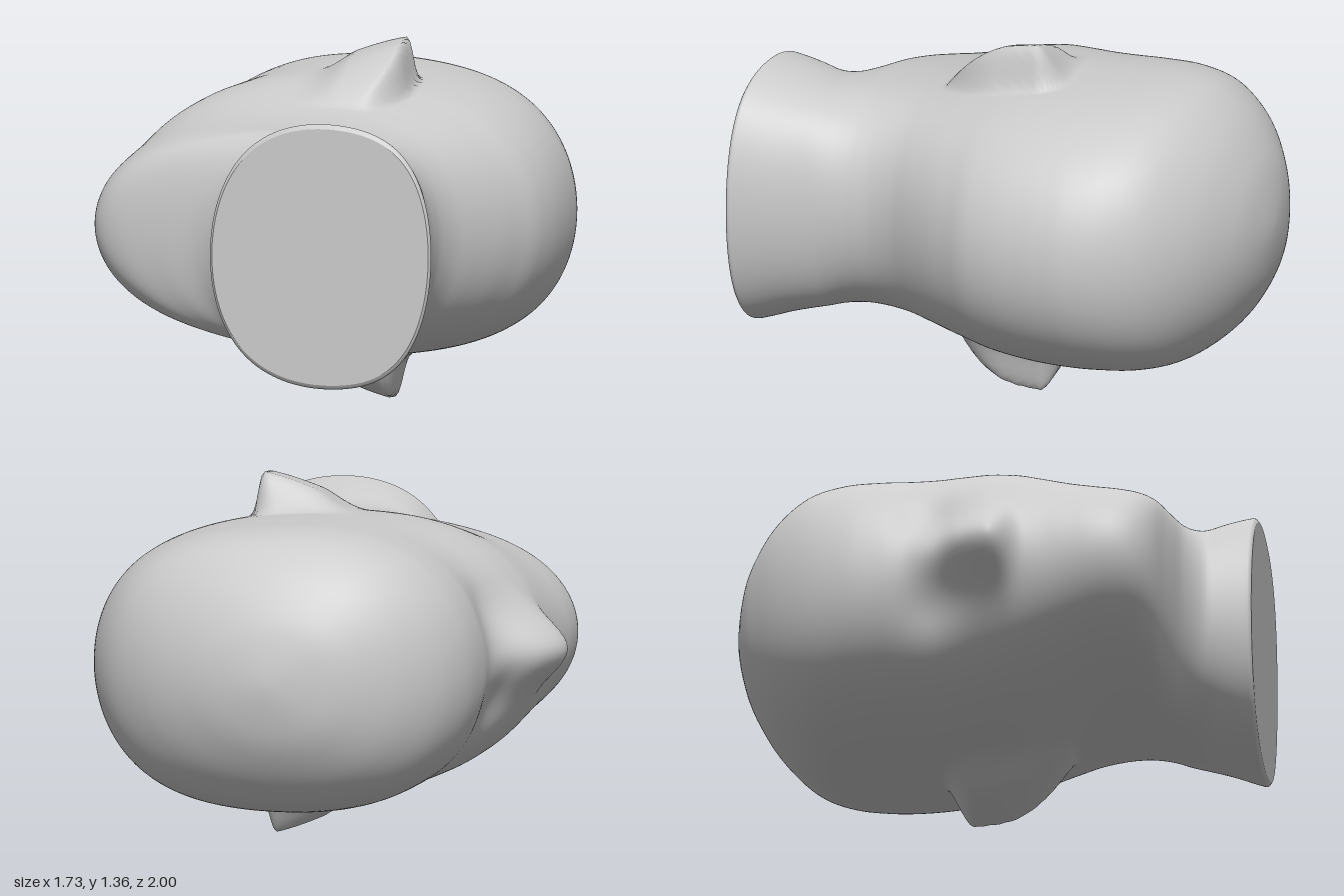
import * as THREE from 'three';

const { smoothstep, clamp } = THREE.MathUtils;
const MID = 0.686; // height of the symmetry plane: the head lies on its side
const TURN = 0.033; // slight roll of the resting head
const SEGS = 256;
const STEPS = 6; // rings per section

// Sections from crown to neck: z, face x, back x, half width, nose length
const SECTIONS = [
  [-0.975, 0.25, -0.15, -0.17, 0], // mirrored section so the crown is round
  [-1.0, 0.06, 0.06, 0, 0],
  [-0.975, -0.15, 0.25, 0.17, 0],
  [-0.925, -0.29, 0.41, 0.295, 0],
  [-0.84, -0.43, 0.58, 0.415, 0],
  [-0.72, -0.545, 0.725, 0.505, 0],
  [-0.58, -0.615, 0.815, 0.538, 0],
  [-0.44, -0.642, 0.858, 0.543, 0],
  [-0.33, -0.645, 0.862, 0.543, 0.005],
  [-0.23, -0.66, 0.855, 0.54, 0.045],
  [-0.14, -0.69, 0.842, 0.535, 0.12],
  [-0.05, -0.72, 0.818, 0.528, 0.142],
  [0.01, -0.737, 0.793, 0.52, 0.118],
  [0.08, -0.757, 0.75, 0.507, 0.023],
  [0.16, -0.77, 0.7, 0.488, 0],
  [0.27, -0.785, 0.625, 0.46, 0],
  [0.36, -0.798, 0.567, 0.44, 0],
  [0.45, -0.797, 0.533, 0.427, 0],
  [0.53, -0.765, 0.525, 0.42, 0],
  [0.59, -0.68, 0.527, 0.42, 0],
  [0.64, -0.52, 0.533, 0.421, 0],
  [0.69, -0.36, 0.541, 0.428, 0],
  [0.76, -0.27, 0.555, 0.442, 0],
  [0.86, -0.253, 0.58, 0.468, 0],
  [0.96, -0.25, 0.605, 0.497, 0],
  [0.985, -0.25, 0.61, 0.5, 0],
  [0.997, -0.24, 0.602, 0.485, 0],
];
const SPANS = SECTIONS.length - 2;

// Smooth blend between neighbouring sections
function sectionAt(t) {
  const i = Math.min(Math.floor(t), SPANS - 1);
  const f = t - i;
  const [a, b, c, d] = [0, 1, 2, 3].map((k) => SECTIONS[Math.min(i + k, SPANS + 1)]);
  return b.map((p, k) => p + 0.5 * f * (c[k] - a[k]
    + f * (2 * a[k] - 5 * p + 4 * c[k] - d[k] + f * (3 * (p - c[k]) + d[k] - a[k]))));
}

// Ear height over the side of the head: rises backwards, then drops steeply
function earHeight(x, z) {
  const rim = 0.265 - 1.7 * Math.max(0, z - 0.03) ** 2 - 4 * Math.max(0, -0.12 - z) ** 2;
  const rise = smoothstep(x, -0.25, rim + 0.12) * smoothstep(x, -0.12, 0.06);
  const drop = 1 - smoothstep(x, rim - 0.035, rim + 0.045);
  const top = smoothstep(z, -0.24, -0.12);
  const lobe = 1 - clamp((z + 0.03) / 0.3, 0, 1) ** 2;
  return 0.187 * rise * drop * top * lobe;
}

function headPoint(t, angle) {
  const [z, face, back, half, nose] = sectionAt(t);
  const around = angle + 0.22 * Math.sin(2 * angle); // denser at the ears
  const c = Math.cos(around), s = Math.sin(around);
  const split = 0.46 + 0.2 * smoothstep(z, -0.05, 0.5) - 0.14 * smoothstep(z, 0.55, 0.9);
  const cx = face + (back - face) * split;
  const full = c > 0 ? 0.25 * smoothstep(z, -1, -0.6) : 0.15;
  let x = cx + c * (c > 0 ? back - cx : cx - face);
  let y = half * s * (1 + full * c * c);

  // Nose ridge and shallow eye sockets
  if (c < 0) {
    const width = 0.09 + 0.05 * smoothstep(z, -0.3, -0.02);
    x -= nose * Math.exp(-((y / width) ** 2));
    x += 0.025 * Math.exp(-(((Math.abs(y) - 0.19) / 0.11) ** 2) - ((z + 0.25) / 0.11) ** 2);
  }

  // Ears, leaning back a little
  const ear = earHeight(x, z);
  y += Math.sign(s) * ear;
  x += 0.12 * ear;

  // Roll of the head and slanted cut of the neck
  const slant = 0.07 * (x - 0.61) * smoothstep(z, 0.7, 0.95);
  return new THREE.Vector3(x + TURN * y, y - TURN * x + MID, z + slant);
}

// Closed rings joined into a skin
function loft(rings, point) {
  const positions = [], index = [];
  for (let i = 0; i <= rings; i++) {
    for (let j = 0; j < SEGS; j++) {
      positions.push(...point(i / rings, (j / SEGS) * Math.PI * 2).toArray());
      if (i === rings) continue;
      const k = (j + 1) % SEGS;
      const a = i * SEGS + j, b = i * SEGS + k;
      index.push(a, b, b + SEGS, a, b + SEGS, a + SEGS);
    }
  }
  const geometry = new THREE.BufferGeometry();
  geometry.setAttribute('position', new THREE.Float32BufferAttribute(positions, 3));
  geometry.setIndex(index);
  geometry.computeVertexNormals();
  return geometry;
}

export function createModel() {
  const group = new THREE.Group();
  group.name = 'mannequinHead';
  const material = new THREE.MeshStandardMaterial({ color: 0xcccccc });
  const add = (name, geometry) => {
    const mesh = new THREE.Mesh(geometry, material);
    mesh.name = name;
    group.add(mesh);
  };

  // Skull, face, ears and neck as one skin
  add('head', loft(SPANS * STEPS, (u, angle) => headPoint(u * SPANS, angle)));

  // Flat cut that closes the neck
  const centre = headPoint(SPANS, 0).lerp(headPoint(SPANS, Math.PI), 0.5);
  add('neckBase', loft(1, (u, angle) => headPoint(SPANS, angle).lerp(centre, u)));

  return group;
}
